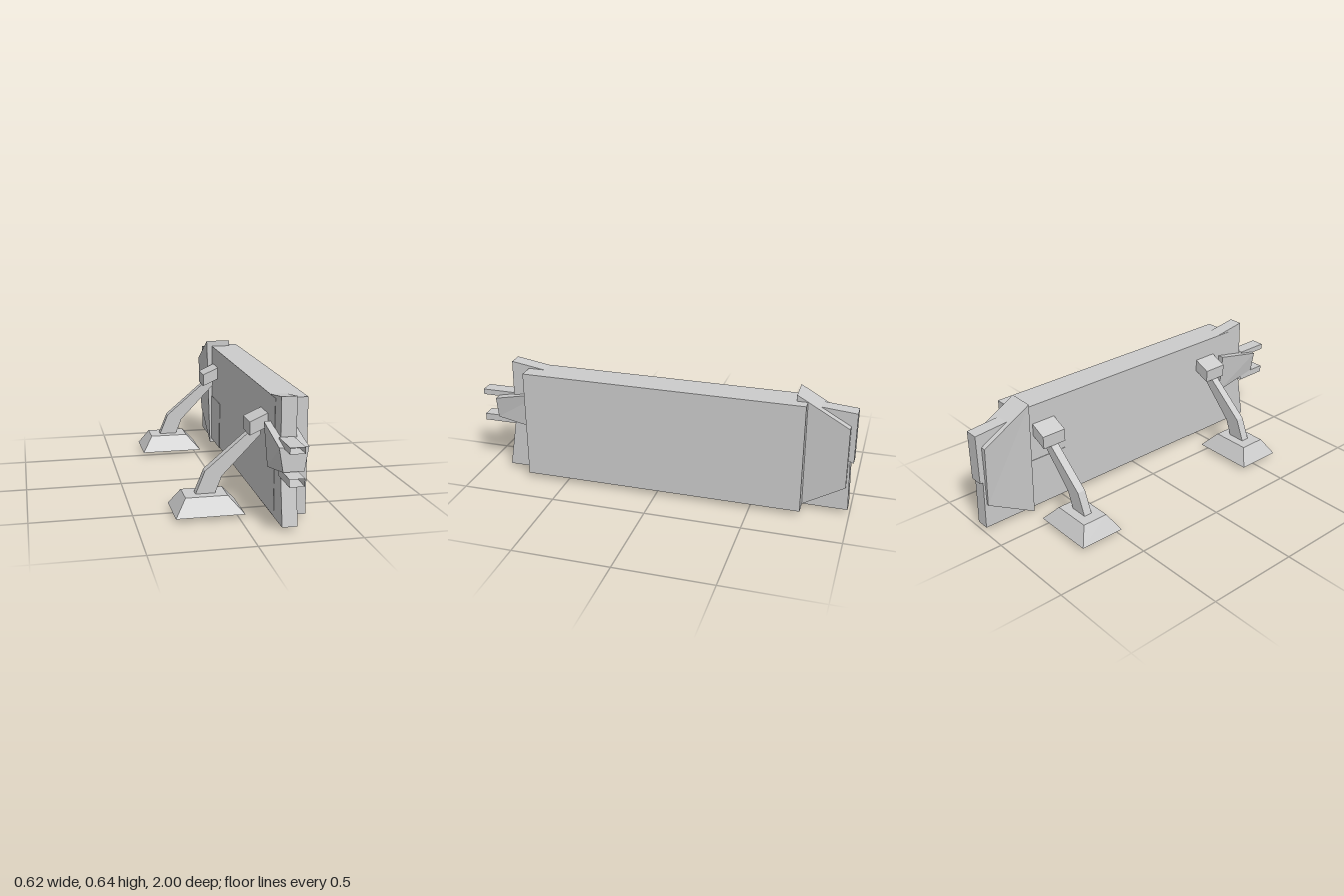
import * as THREE from 'three';

const mat = new THREE.MeshStandardMaterial({ color: 0xcccccc, flatShading: true });
const openMat = new THREE.MeshStandardMaterial({ color: 0xcccccc, flatShading: true, side: THREE.DoubleSide });

function add(parent, name, geometry, material = mat) {
  const mesh = new THREE.Mesh(geometry, material);
  mesh.name = name;
  parent.add(mesh);
  return mesh;
}

const toShape = pts => new THREE.Shape(pts.map(p => new THREE.Vector2(...p)));

// Outline in (x, y), extruded from z0 to z1
function frontPrism(pts, z0, z1) {
  return new THREE.ExtrudeGeometry(toShape(pts), { depth: z1 - z0, bevelEnabled: false }).translate(0, 0, z0);
}

// Outline in (z, y), extruded from x0 to x1
function sidePrism(pts, x0, x1) {
  return new THREE.ExtrudeGeometry(toShape(pts), { depth: x1 - x0, bevelEnabled: false })
    .rotateY(-Math.PI / 2).translate(x1, 0, 0);
}

function boxBetween(x0, x1, y0, y1, z0, z1) {
  return new THREE.BoxGeometry(x1 - x0, y1 - y0, z1 - z0)
    .translate((x0 + x1) / 2, (y0 + y1) / 2, (z0 + z1) / 2);
}

// Box whose corners are placed by a rule on their signs
function shapedBox(rule) {
  const g = new THREE.BoxGeometry(2, 2, 2);
  const p = g.attributes.position;
  for (let i = 0; i < p.count; i++) p.setXYZ(i, ...rule(p.getX(i), p.getY(i), p.getZ(i)));
  g.computeVertexNormals();
  return g;
}

// Drops the listed box sides (order: +x, -x, +y, -y, +z, -z)
function without(geometry, sides) {
  const kept = Array.from(geometry.index.array).filter((_, i) => !sides.includes(Math.floor(i / 6)));
  geometry.setIndex(kept);
  return geometry;
}

// End cap: wide sloping top, narrow sloping bottom
function endCap(zInner, zOuter, topInner, topOuter, bottomOuter, bottomInner) {
  const dir = Math.sign(zOuter);
  return shapedBox((sx, sy, sz) => {
    const outer = sz === dir;
    const y = sy > 0 ? (outer ? topOuter : topInner) : (outer ? bottomOuter : bottomInner);
    return [0.185 + sx * (sy > 0 ? 0.07 : 0.05), y, outer ? zOuter : zInner];
  });
}

// Foot, bent arm and joint, centred on one z position
function stand(z) {
  const group = new THREE.Group();
  group.name = 'stand';
  const foot = shapedBox((sx, sy, sz) => sy > 0
    ? [-0.151 + sx * 0.104, 0.108, sz * 0.07]
    : [-0.141 + sx * 0.17, 0.023, sz * 0.122]);
  add(group, 'foot', without(foot, [3]), openMat);
  add(group, 'arm', frontPrism([
    [-0.215, 0.06], [-0.12, 0.06], [-0.1, 0.108], [-0.067, 0.192],
    [0.125, 0.392], [0.125, 0.45], [0.06, 0.4], [-0.15, 0.222], [-0.197, 0.108],
  ], -0.022, 0.022));
  add(group, 'joint', frontPrism([
    [0.06, 0.4], [0.17, 0.449], [0.17, 0.516], [0.06, 0.467],
  ], -0.066, 0.066));
  group.position.z = z;
  return group;
}

export function createModel() {
  const model = new THREE.Group();
  model.name = 'panelOnStands';

  add(model, 'panel', boxBetween(0.148, 0.308, 0.03, 0.608, -0.76, 0.715));

  // Front end
  add(model, 'frontPost', sidePrism([
    [0.41, 0.026], [0.86, 0.026], [0.815, 0.29], [0.81, 0.637], [0.64, 0.61], [0.41, 0.57],
  ], 0.15, 0.225));
  add(model, 'frontCap', endCap(0.64, 0.908, 0.48, 0.425, 0.309, 0.255));
  for (const [y0, y1] of [[0.42, 0.45], [0.268, 0.305]]) {
    add(model, 'prong', without(boxBetween(0.138, 0.21, y0, y1, 0.82, 1), [4, 5]), openMat);
  }

  // Rear end
  add(model, 'rearCap', endCap(-0.705, -0.972, 0.641, 0.49, 0.158, 0.003));
  add(model, 'rearLowerPost', sidePrism([
    [-0.48, 0.027], [-0.48, 0.3], [-0.982, 0.3], [-0.99, 0.027],
  ], 0.145, 0.218));
  add(model, 'rearUpperPost', sidePrism([
    [-0.8, 0.577], [-1, 0.56], [-1, 0.293], [-0.8, 0.293],
  ], 0.143, 0.216));

  for (const z of [0.525, -0.605]) model.add(stand(z));
  return model;
}
